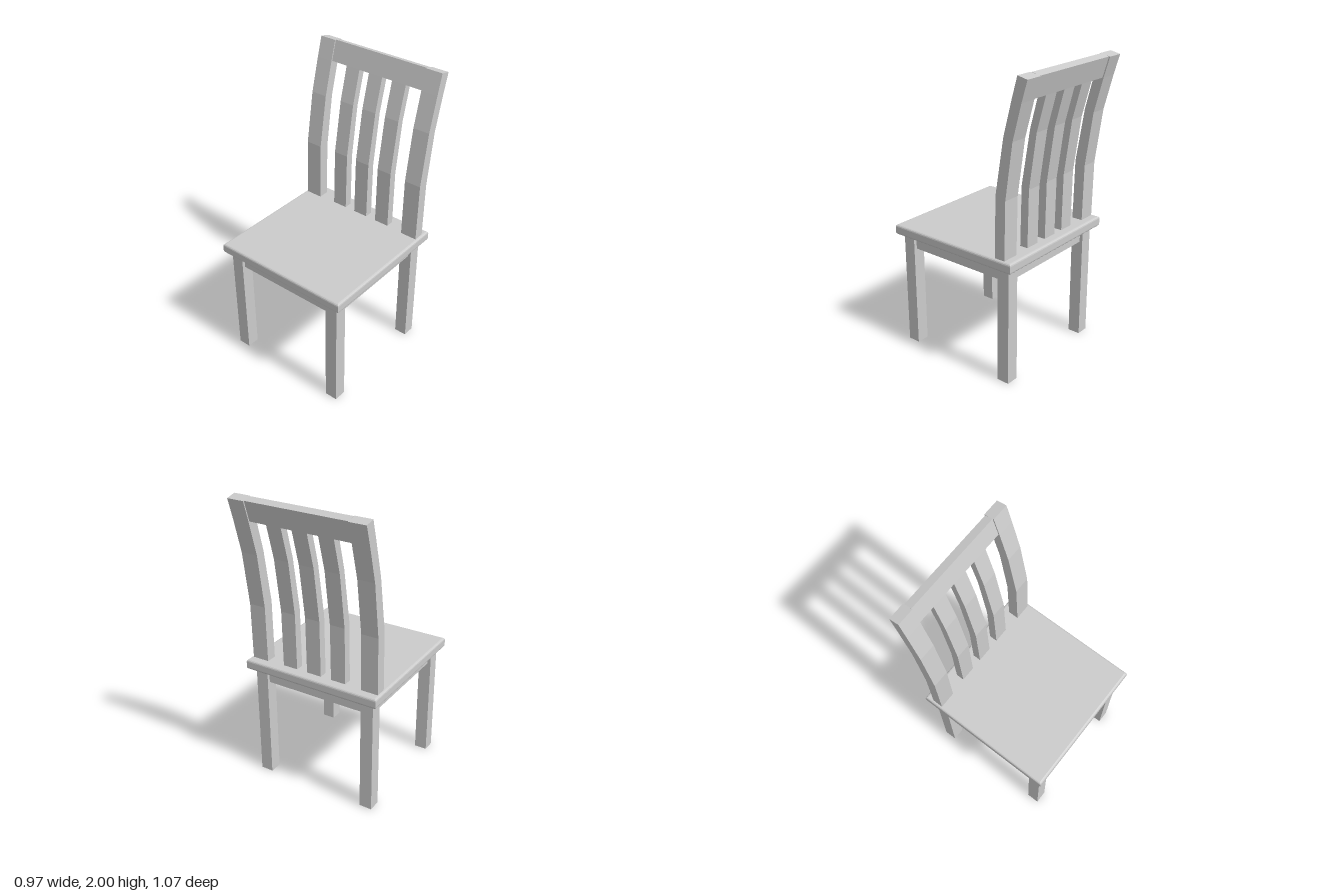
import * as THREE from 'three';

const material = new THREE.MeshStandardMaterial({ color: 0xcccccc, flatShading: true });

function add(group, name, geometry) {
  const mesh = new THREE.Mesh(geometry, material);
  mesh.name = name;
  group.add(mesh);
}

// Box given by its extents on each axis
function box(x0, x1, y0, y1, z0, z1) {
  return new THREE.BoxGeometry(x1 - x0, y1 - y0, z1 - z0)
    .translate((x0 + x1) / 2, (y0 + y1) / 2, (z0 + z1) / 2);
}

// Curve of the backrest from bottom to top: [y, z] on the front and rear faces
const FRONT = [[0.86, -0.304], [1.275, -0.312], [1.635, -0.37], [1.865, -0.43], [2.0, -0.468]];
const REAR = [[0.86, -0.378], [1.255, -0.385], [1.62, -0.436], [1.85, -0.497], [1.985, -0.537]];

// Curved bar between two stations of the backrest, thinned by inset on both faces
function curvedBar(x0, x1, from, to, inset) {
  const front = FRONT.slice(from, to + 1).map(([y, z]) => new THREE.Vector2(-z + inset, y));
  const rear = REAR.slice(from, to + 1).map(([y, z]) => new THREE.Vector2(-z - inset, y));
  const shape = new THREE.Shape([...front, ...rear.reverse()]);
  return new THREE.ExtrudeGeometry(shape, { depth: x1 - x0, bevelEnabled: false })
    .rotateY(Math.PI / 2).translate(x0, 0, 0);
}

export function createModel() {
  const chair = new THREE.Group();
  chair.name = 'chair';

  // Seat with softened edges and mitred corners
  const bevel = 0.015, half = 0.485 - bevel;
  const outline = new THREE.Shape([
    new THREE.Vector2(-half, -half), new THREE.Vector2(half, -half),
    new THREE.Vector2(half, half), new THREE.Vector2(-half, half),
  ]);
  const seat = new THREE.ExtrudeGeometry(outline, {
    depth: 0.07 - 2 * bevel, bevelSize: bevel, bevelThickness: bevel, bevelSegments: 3,
  });
  add(chair, 'seat', seat.rotateX(-Math.PI / 2).translate(0, 0.8 + bevel, 0.05));

  // Legs, side aprons and back posts, mirrored left and right
  for (const [side, s] of [['left', 1], ['right', -1]]) {
    const span = (a, b) => (s > 0 ? [a, b] : [-b, -a]);
    add(chair, `${side}FrontLeg`, box(...span(0.355, 0.442), 0, 0.81, 0.412, 0.498));
    add(chair, `${side}BackLeg`, box(...span(0.355, 0.442), 0, 0.81, -0.388, -0.302));
    add(chair, `${side}Apron`, box(...span(0.377, 0.42), 0.707, 0.81, -0.31, 0.42));
    add(chair, `${side}BackPost`, curvedBar(...span(0.352, 0.468), 0, 4, 0));
  }

  // Front and back aprons
  add(chair, 'frontApron', box(-0.36, 0.36, 0.707, 0.81, 0.433, 0.477));
  add(chair, 'backApron', box(-0.36, 0.36, 0.707, 0.81, -0.367, -0.323));

  // Top rail and the three slats below it
  add(chair, 'topRail', curvedBar(-0.352, 0.352, 3, 4, 0.008));
  for (const x of [-0.18, 0, 0.18]) {
    add(chair, 'backSlat', curvedBar(x - 0.052, x + 0.052, 0, 3, 0.009));
  }
  return chair;
}
